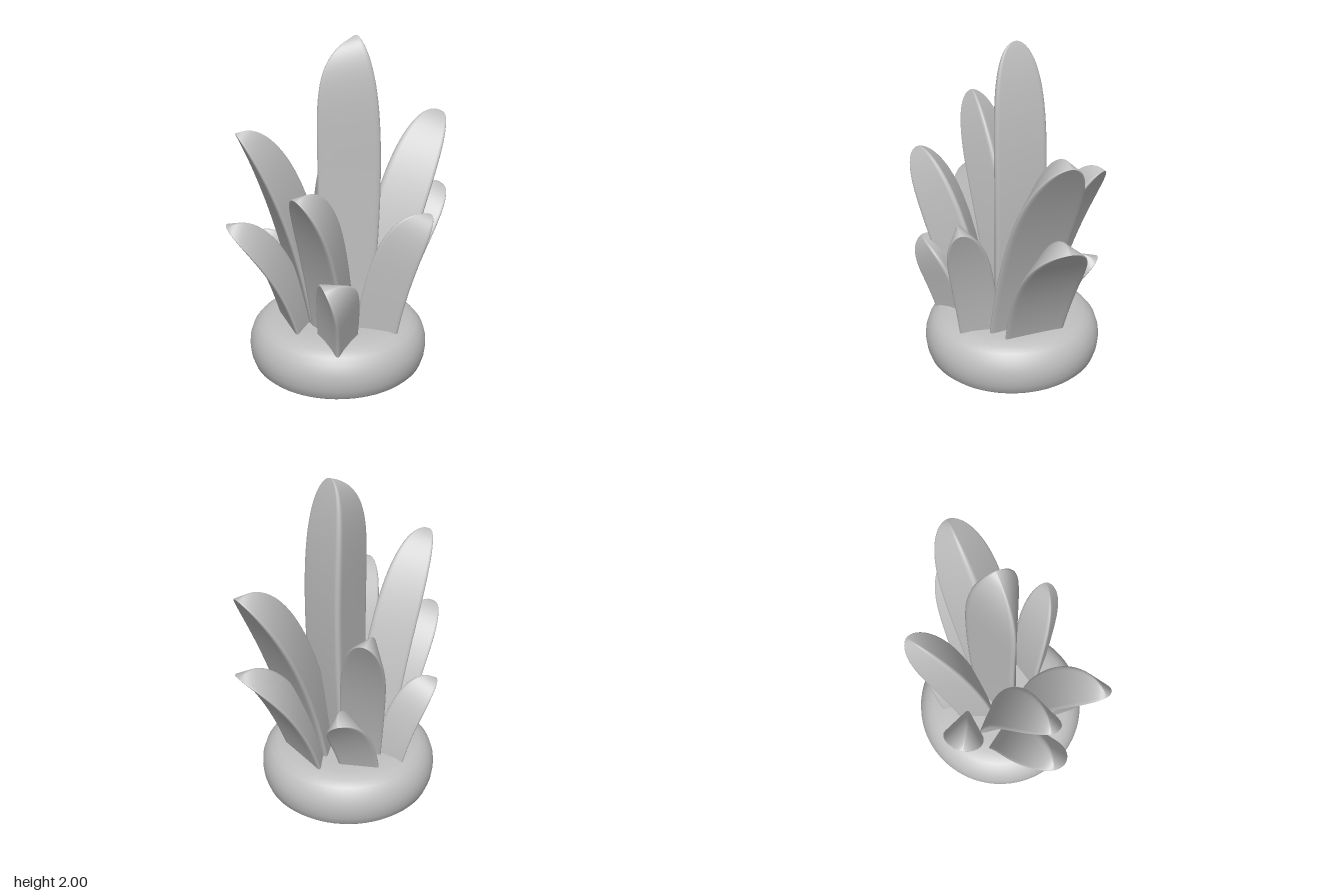
import * as THREE from 'three';

// Outline of a leaf along its length: broad in the middle, blunt at the tip
function swell(t) {
  if (t < 0.45) return 0.92 + 0.08 * Math.sin((Math.PI / 2) * (t / 0.45));
  return Math.pow(Math.max(0, 1 - Math.pow((t - 0.45) / 0.55, 2.8)), 0.52);
}

// Triangular section with softened corners: flat outer side, ridge on the inner side
function leafSection(halfWidth, depth) {
  const corners = [[0, halfWidth], [-depth, 0], [0, -halfWidth]].map(c => new THREE.Vector2(...c));
  const points = [];
  corners.forEach((c, i) => {
    const from = c.clone().lerp(corners[(i + 2) % 3], 0.12);
    const to = c.clone().lerp(corners[(i + 1) % 3], 0.12);
    points.push(...new THREE.QuadraticBezierCurve(from, c, to).getPoints(4));
  });
  return points;
}

// Horizontal direction; degrees turn from +x towards +z
function heading(degrees) {
  const a = THREE.MathUtils.degToRad(degrees);
  return new THREE.Vector3(Math.cos(a), 0, Math.sin(a));
}

// Leaf swept along a spine bent towards angle, its flat side turned towards facing
function leafGeometry({ x, z, angle, facing, bend, tip, width, depth }) {
  const lean = heading(angle), face = heading(facing);
  const spine = new THREE.QuadraticBezierCurve(
    new THREE.Vector2(0, 0.22), new THREE.Vector2(...bend), new THREE.Vector2(...tip));
  const rings = 30, n = 15, position = [], index = [];
  for (let i = 0; i <= rings; i++) {
    const t = 1 - Math.pow(1 - i / rings, 2.2);
    const p = spine.getPoint(t), d = spine.getTangent(t), g = swell(t);
    const along = lean.clone().multiplyScalar(d.x).setY(d.y);
    const normal = face.clone().addScaledVector(along, -face.dot(along)).normalize();
    const side = normal.clone().cross(along);
    for (const s of leafSection(width * g, depth * Math.pow(g, 0.85))) {
      const v = new THREE.Vector3(x, p.y, z).addScaledVector(lean, p.x)
        .addScaledVector(normal, s.x).addScaledVector(side, s.y);
      position.push(v.x, v.y, v.z);
    }
  }
  for (let i = 0; i < rings; i++) {
    for (let j = 0; j < n; j++) {
      const p = i * n + j, q = i * n + (j + 1) % n;
      index.push(p, p + n, q, q, p + n, q + n);
    }
  }
  const geometry = new THREE.BufferGeometry();
  geometry.setAttribute('position', new THREE.Float32BufferAttribute(position, 3));
  geometry.setIndex(index);
  geometry.computeVertexNormals();
  return geometry;
}

const leaves = [
  { name: 'centreLeaf', x: 0.115, z: 0.025, angle: 0, facing: 2, bend: [0.12, 1.5], tip: [-0.03, 2.0], width: 0.172, depth: 0.36 },
  { name: 'leftTallLeaf', x: 0.22, z: 0.08, angle: -8, facing: 1, bend: [0.17, 0.97], tip: [0.51, 1.48], width: 0.21, depth: 0.245 },
  { name: 'leftLowLeaf', x: 0.31, z: 0.015, angle: 0, facing: 3, bend: [0.14, 0.7], tip: [0.435, 1.01], width: 0.212, depth: 0.19 },
  { name: 'rightTallLeaf', x: -0.21, z: -0.08, angle: 171, facing: 190, bend: [0.15, 1.0], tip: [0.46, 1.53], width: 0.172, depth: 0.23 },
  { name: 'rightLowLeaf', x: -0.33, z: -0.05, angle: 173, facing: 190, bend: [0.13, 0.7], tip: [0.42, 1.01], width: 0.198, depth: 0.18 },
  { name: 'frontRightTallLeaf', x: -0.22, z: 0.2, angle: 147, facing: 170, bend: [0.12, 0.85], tip: [0.385, 1.25], width: 0.168, depth: 0.235 },
  { name: 'frontLeftLeaf', x: 0.16, z: 0.29, angle: 48, facing: 17, bend: [0.07, 0.7], tip: [0.235, 1.02], width: 0.135, depth: 0.25 },
  { name: 'frontRightSmallLeaf', x: -0.28, z: 0.28, angle: 125, facing: 183, bend: [0.06, 0.52], tip: [0.21, 0.72], width: 0.14, depth: 0.23 },
  { name: 'backLeftTallLeaf', x: 0.03, z: -0.175, angle: -52, facing: -30, bend: [0.12, 0.84], tip: [0.365, 1.23], width: 0.15, depth: 0.21 },
  { name: 'backRightSmallLeaf', x: -0.15, z: -0.32, angle: 202, facing: 213, bend: [0.07, 0.54], tip: [0.24, 0.77], width: 0.14, depth: 0.18 },
  { name: 'backLeftSmallLeaf', x: 0.12, z: -0.29, angle: -17, facing: -40, bend: [0.08, 0.53], tip: [0.26, 0.72], width: 0.135, depth: 0.18 },
];

export function createModel() {
  const group = new THREE.Group();
  group.name = 'succulentPlant';
  const grey = new THREE.MeshStandardMaterial({ color: 0xbfbfbf });
  grey.name = 'plain grey';

  const add = (name, geometry) => {
    const mesh = new THREE.Mesh(geometry, grey);
    mesh.name = name;
    group.add(mesh);
    return mesh;
  };

  // Rounded cushion base
  const profile = [[0.5, 0], [0.52, 0.02], [0.537, 0.07], [0.543, 0.12], [0.54, 0.17], [0.522, 0.225],
    [0.49, 0.265], [0.45, 0.29], [0.39, 0.308], [0.3, 0.314], [0, 0.316]];
  const base = add('base', new THREE.LatheGeometry(profile.map(p => new THREE.Vector2(...p)), 64));
  base.position.x = -0.025;

  // Flat underside
  const underside = add('baseUnderside', new THREE.CircleGeometry(0.5, 64));
  underside.rotation.x = Math.PI / 2;
  underside.position.x = -0.025;

  // Leaves
  for (const leaf of leaves) add(leaf.name, leafGeometry(leaf));

  return group;
}
